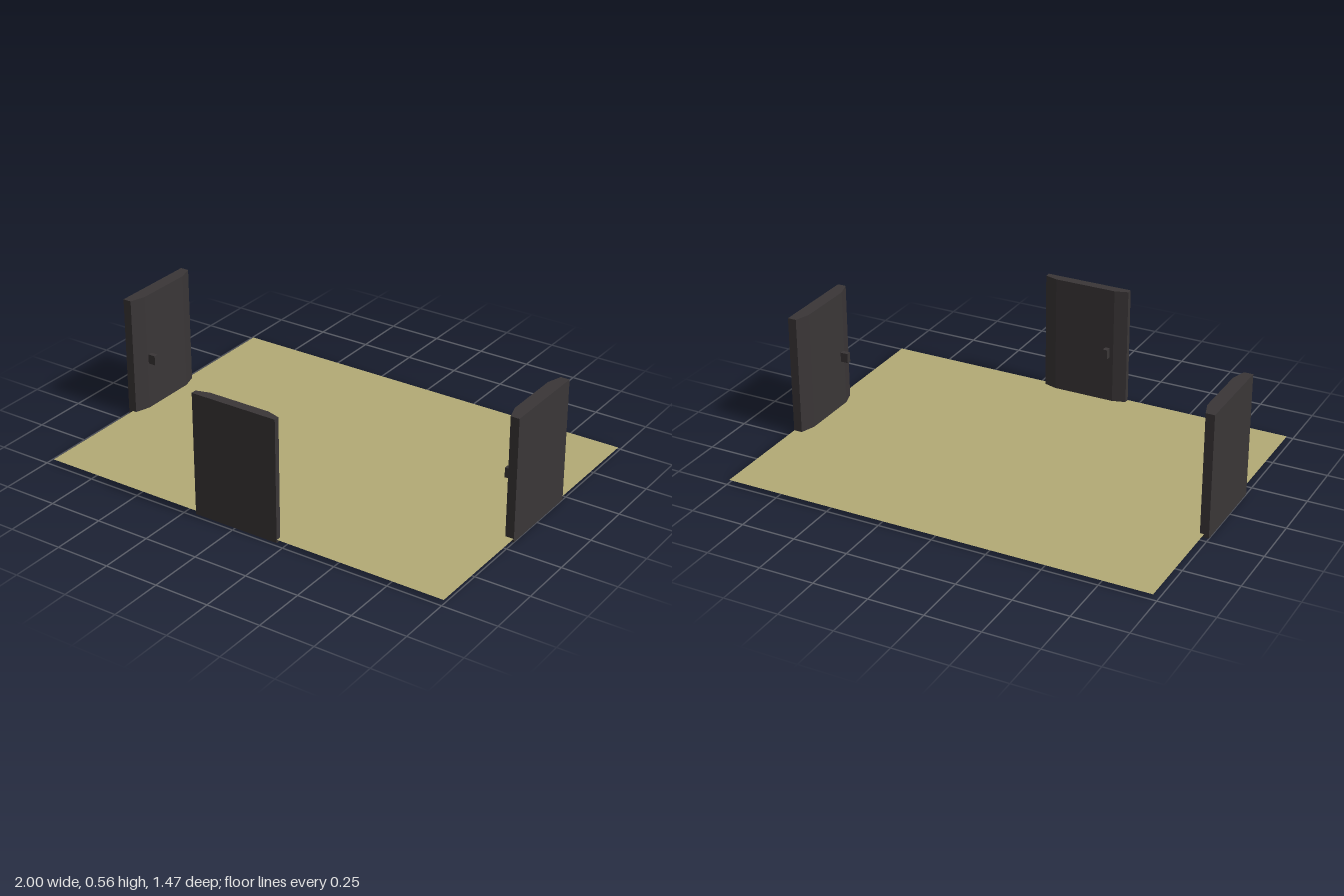
import * as THREE from 'three';

const dark = new THREE.MeshStandardMaterial({ color: 0x3a3637, flatShading: true });
const sand = new THREE.MeshStandardMaterial({ color: 0xb3ab76, side: THREE.DoubleSide });

const HEIGHT = 0.565;

// Door slab with bevelled vertical edges; outer face on z = 0, inner face towards -z
function makeDoor(name, width, edge, depth, bevel, knobX, knobDepth) {
  const door = new THREE.Group();
  door.name = name;

  const w = width / 2;
  const profile = new THREE.Shape([
    [-w, 0], [w, 0], [w, edge], [w - bevel, depth], [-w + bevel, depth], [-w, edge],
  ].map(([x, y]) => new THREE.Vector2(x, y)));
  const slab = new THREE.Mesh(
    new THREE.ExtrudeGeometry(profile, { depth: HEIGHT, bevelEnabled: false }).rotateX(-Math.PI / 2),
    dark);
  slab.name = 'doorPanel';

  const knob = new THREE.Mesh(new THREE.BoxGeometry(0.022, 0.045, knobDepth), dark);
  knob.name = 'doorKnob';
  knob.position.set(knobX, 0.257, -depth - knobDepth / 2);

  door.add(slab, knob);
  return door;
}

export function createModel() {
  const model = new THREE.Group();
  model.name = 'floorWithDoors';

  // Thin floor sheet, just above the door bottoms
  const floor = new THREE.Mesh(new THREE.PlaneGeometry(1.975, 1.465).rotateX(-Math.PI / 2), sand);
  floor.name = 'floor';
  floor.position.set(0.01, 0.015, -0.002);
  model.add(floor);

  // Front door
  const front = makeDoor('frontDoor', 0.41, 0.025, 0.043, 0.06, -0.117, 0.027);
  front.position.set(0.004, 0, 0.732);
  model.add(front);

  // Side doors face outward, with knobs on the inside towards the front
  for (const side of [-1, 1]) {
    const door = makeDoor(side > 0 ? 'leftDoor' : 'rightDoor', 0.412, 0.04, 0.062, 0.07, -side * 0.117, 0.036);
    door.rotation.y = side * Math.PI / 2;
    door.position.set(side * 0.999, 0, -0.017);
    model.add(door);
  }
  return model;
}
